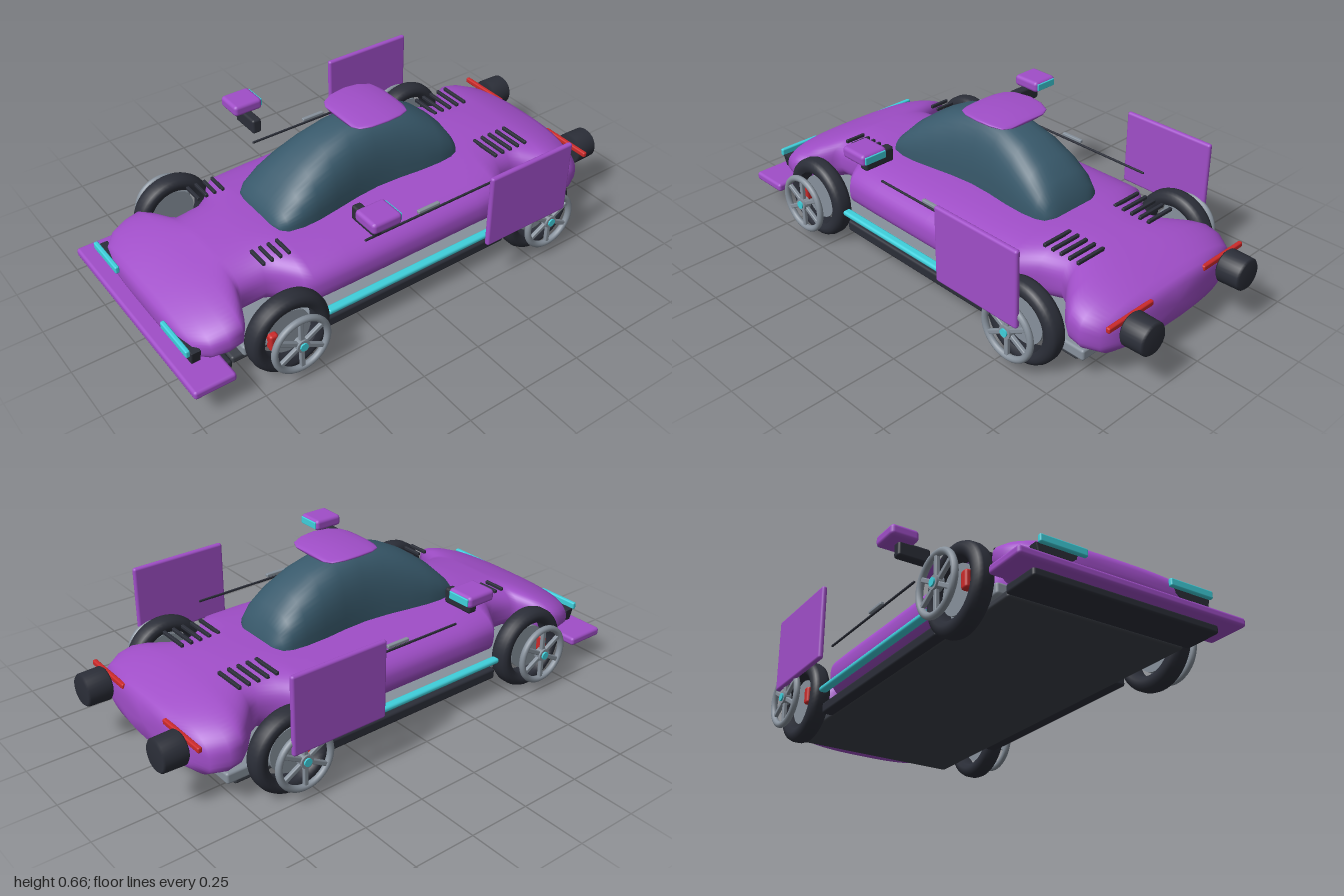
import * as THREE from 'three';
import { RoundedBoxGeometry } from 'three/addons/geometries/RoundedBoxGeometry.js';

const mat = (color) => new THREE.MeshStandardMaterial({ color });
const purple = mat(0xa04ec8), dark = mat(0x2b2e38), grey = mat(0x87919c), glass = mat(0x38596b);
const cyan = mat(0x3fd0dc), red = mat(0xcc2a2a), floorGrey = mat(0x3c4048);

function add(parent, name, geometry, material, x = 0, y = 0, z = 0) {
  const m = new THREE.Mesh(geometry, material);
  m.name = name;
  m.position.set(x, y, z);
  parent.add(m);
  return m;
}

// Rounded box given by its size and centre
function box(parent, name, material, [w, h, d], [x, y, z], r = 0.01) {
  const radius = Math.min(r, w * 0.45, h * 0.45, d * 0.45);
  return add(parent, name, new RoundedBoxGeometry(w, h, d, 2, radius), material, x, y, z);
}

// Cylinder whose axis runs along x
const axle = (r, len, n = 32) => new THREE.CylinderGeometry(r, r, len, n).rotateZ(Math.PI / 2);

// Closed skin over superellipse sections [z, halfWidth, bottom, middle, top], front to back
function loft(sections, n, ring = 48) {
  const pos = [], idx = [];
  for (const [z, w, bottom, mid, top] of sections) {
    for (let j = 0; j < ring; j++) {
      const a = (j / ring) * Math.PI * 2, c = Math.cos(a), s = Math.sin(a);
      const px = Math.sign(c) * Math.abs(c) ** (2 / n), py = Math.abs(s) ** (2 / n);
      pos.push(w * px, mid + (s > 0 ? top - mid : bottom - mid) * py, z);
    }
  }
  const last = sections.length - 1, front = pos.length / 3, back = front + 1;
  pos.push(0, sections[0][3], sections[0][0], 0, sections[last][3], sections[last][0]);
  for (let j = 0; j < ring; j++) {
    const k = (j + 1) % ring;
    for (let i = 0; i < last; i++) {
      const a = i * ring + j, b = i * ring + k, c = a + ring, d = b + ring;
      idx.push(a, c, b, b, c, d);
    }
    idx.push(front, j, k, back, last * ring + k, last * ring + j);
  }
  const g = new THREE.BufferGeometry();
  g.setAttribute('position', new THREE.Float32BufferAttribute(pos, 3));
  g.setIndex(idx);
  g.computeVertexNormals();
  return g;
}

function makeWheel(side, z) {
  const wheel = new THREE.Group();
  wheel.name = 'wheel';
  wheel.position.set(0, 0.17, z);
  // Tyre with rounded shoulders
  const profile = [[0.112, -0.03], [0.13, -0.04], [0.146, -0.038], [0.159, -0.029], [0.165, -0.014],
    [0.165, 0.014], [0.159, 0.029], [0.146, 0.038], [0.13, 0.04], [0.112, 0.03], [0.112, -0.03]];
  const tyre = new THREE.LatheGeometry(profile.map(([r, h]) => new THREE.Vector2(r, h)), 48);
  add(wheel, 'tyre', tyre.rotateZ(Math.PI / 2), dark, side * 0.416);
  // Brake behind the rim
  add(wheel, 'brakeDisc', axle(0.09, 0.012), grey, side * 0.42);
  box(wheel, 'brakeCaliper', red, [0.035, 0.07, 0.035], [side * 0.432, 0, 0.072]);
  // Rim ring, spokes and hub
  add(wheel, 'rim', new THREE.TorusGeometry(0.109, 0.013, 12, 48).rotateY(Math.PI / 2), grey, side * 0.504);
  for (let i = 0; i < 6; i++) {
    const a = (i / 6) * Math.PI * 2;
    const spoke = box(wheel, 'spoke', grey, [0.016, 0.095, 0.018],
      [side * 0.504, Math.cos(a) * 0.06, Math.sin(a) * 0.06], 0.004);
    spoke.rotation.x = a;
  }
  add(wheel, 'hub', axle(0.026, 0.03, 20), grey, side * 0.504);
  add(wheel, 'hubCap', axle(0.016, 0.036, 16), cyan, side * 0.507);
  return wheel;
}

export function createModel() {
  const car = new THREE.Group();
  car.name = 'sportsCar';

  // Body shell, pinched in at the wheels: [z, halfWidth, bottom, top]
  const shell = [
    [0.95, 0.16, 0.16, 0.215], [0.942, 0.25, 0.14, 0.232], [0.925, 0.33, 0.125, 0.25],
    [0.88, 0.38, 0.12, 0.275], [0.82, 0.4, 0.12, 0.3], [0.765, 0.4, 0.13, 0.316],
    [0.73, 0.35, 0.13, 0.325], [0.7, 0.28, 0.13, 0.333], [0.68, 0.25, 0.13, 0.338],
    [0.58, 0.25, 0.13, 0.353], [0.53, 0.285, 0.13, 0.358], [0.48, 0.355, 0.13, 0.361],
    [0.45, 0.38, 0.13, 0.362], [0.3, 0.386, 0.135, 0.363], [0, 0.386, 0.135, 0.365],
    [-0.3, 0.386, 0.135, 0.369], [-0.41, 0.385, 0.13, 0.37], [-0.45, 0.35, 0.13, 0.37],
    [-0.5, 0.295, 0.13, 0.37], [-0.58, 0.255, 0.13, 0.367], [-0.63, 0.285, 0.13, 0.362],
    [-0.7, 0.365, 0.12, 0.354], [-0.74, 0.395, 0.11, 0.347], [-0.79, 0.395, 0.1, 0.334],
    [-0.85, 0.36, 0.1, 0.313], [-0.88, 0.28, 0.115, 0.297], [-0.9, 0.13, 0.14, 0.275]];
  add(car, 'bodyShell', loft(shell.map(([z, w, b, t]) => [z, w, b, b + (t - b) * 0.45, t]), 2.8, 64), purple);

  // Glass canopy, waisted in the middle: [z, halfWidth, top]
  const canopy = [[0.455, 0.1, 0.365], [0.445, 0.14, 0.39], [0.42, 0.163, 0.425], [0.36, 0.174, 0.485],
    [0.29, 0.172, 0.535], [0.2, 0.16, 0.583], [0.1, 0.145, 0.617], [0, 0.137, 0.63],
    [-0.1, 0.142, 0.621], [-0.2, 0.153, 0.588], [-0.29, 0.157, 0.537], [-0.35, 0.152, 0.485],
    [-0.385, 0.138, 0.435], [-0.405, 0.1, 0.375]];
  add(car, 'canopy', loft(canopy.map(([z, w, t]) => [z, w, 0.33, 0.355, t]), 2.7), glass);

  // Roof panel with lightly upturned side edges
  const roof = loft([[0.085, 0.085, 0.632, 0.637, 0.643], [0.07, 0.115, 0.629, 0.637, 0.648],
    [0.03, 0.135, 0.626, 0.637, 0.656], [-0.04, 0.143, 0.625, 0.637, 0.66],
    [-0.1, 0.137, 0.626, 0.637, 0.657], [-0.145, 0.118, 0.629, 0.637, 0.648],
    [-0.16, 0.085, 0.632, 0.637, 0.643]], 2.2);
  const p = roof.attributes.position;
  for (let i = 0; i < p.count; i++) p.setY(i, p.getY(i) + 0.009 * (p.getX(i) / 0.143) ** 6);
  roof.computeVertexNormals();
  add(car, 'roofPanel', roof, purple);

  // Chassis, floor and front splitter
  box(car, 'chassis', grey, [0.76, 0.045, 1.56], [0, 0.122, -0.02]);
  box(car, 'floorPanel', floorGrey, [0.73, 0.03, 1.56], [0, 0.09, 0.02]);
  box(car, 'splitterBase', dark, [0.76, 0.035, 0.15], [0, 0.093, 0.88]);
  box(car, 'frontSplitter', purple, [0.93, 0.035, 0.165], [0, 0.122, 0.9175], 0.012);

  for (const s of [1, -1]) {
    for (const z of [0.6, -0.565]) car.add(makeWheel(s, z));

    // Sills and light strips
    box(car, 'sideSkirt', dark, [0.05, 0.045, 0.86], [s * 0.385, 0.097, 0.01]);
    box(car, 'sideStrip', cyan, [0.035, 0.022, 0.84], [s * 0.418, 0.167, 0.015]);

    // Side fins
    box(car, 'sideFin', purple, [0.022, 0.31, 0.4], [s * 0.514, 0.37, -0.425]);

    // Mirrors
    box(car, 'mirrorHousing', purple, [0.115, 0.047, 0.125], [s * 0.453, 0.527, 0.237], 0.015);
    box(car, 'mirrorGlass', cyan, [0.095, 0.03, 0.008], [s * 0.453, 0.527, 0.174], 0.003);
    box(car, 'mirrorStalk', dark, [0.134, 0.062, 0.04], [s * 0.394, 0.48, 0.243]);

    // Door line and handle
    box(car, 'doorLine', dark, [0.008, 0.008, 0.66], [s * 0.38, 0.373, -0.09], 0.002);
    box(car, 'doorHandle', grey, [0.016, 0.014, 0.1], [s * 0.379, 0.39, -0.05], 0.004);

    // Headlights and the intakes beneath them
    box(car, 'headlight', cyan, [0.186, 0.03, 0.018], [s * 0.265, 0.21, 0.957], 0.006);
    const outline = [[0.175, 0.2], [0.355, 0.2], [0.345, 0.155], [0.26, 0.152], [0.235, 0.17]];
    const shape = new THREE.Shape(outline.map(([x, y]) => new THREE.Vector2(s * x, y)));
    add(car, 'intake', new THREE.ExtrudeGeometry(shape,
      { depth: 0.03, bevelSize: 0.004, bevelThickness: 0.004, bevelSegments: 2 }), dark, 0, 0, 0.912);

    // Tail lights and exhausts
    box(car, 'tailLight', red, [0.23, 0.022, 0.018], [s * 0.255, 0.274, -0.888], 0.006);
    const outer = [[0, -0.05], [0.055, -0.05], [0.063, -0.042], [0.065, 0.042], [0.057, 0.05], [0, 0.05]];
    const exhaust = new THREE.LatheGeometry(outer.map(([r, h]) => new THREE.Vector2(r, h)), 32);
    add(car, 'exhaust', exhaust.rotateX(Math.PI / 2), dark, s * 0.263, 0.24, -0.95);

    // Louvres on the front and rear decks
    for (let i = 0; i < 4; i++)
      box(car, 'frontLouvre', dark, [0.09, 0.014, 0.012], [s * 0.23, 0.368, 0.49 + i * 0.035], 0.003);
    for (let i = 0; i < 5; i++)
      box(car, 'rearLouvre', dark, [0.135, 0.014, 0.013], [s * 0.188, 0.367, -0.495 - i * 0.039], 0.003);
  }
  return car;
}
